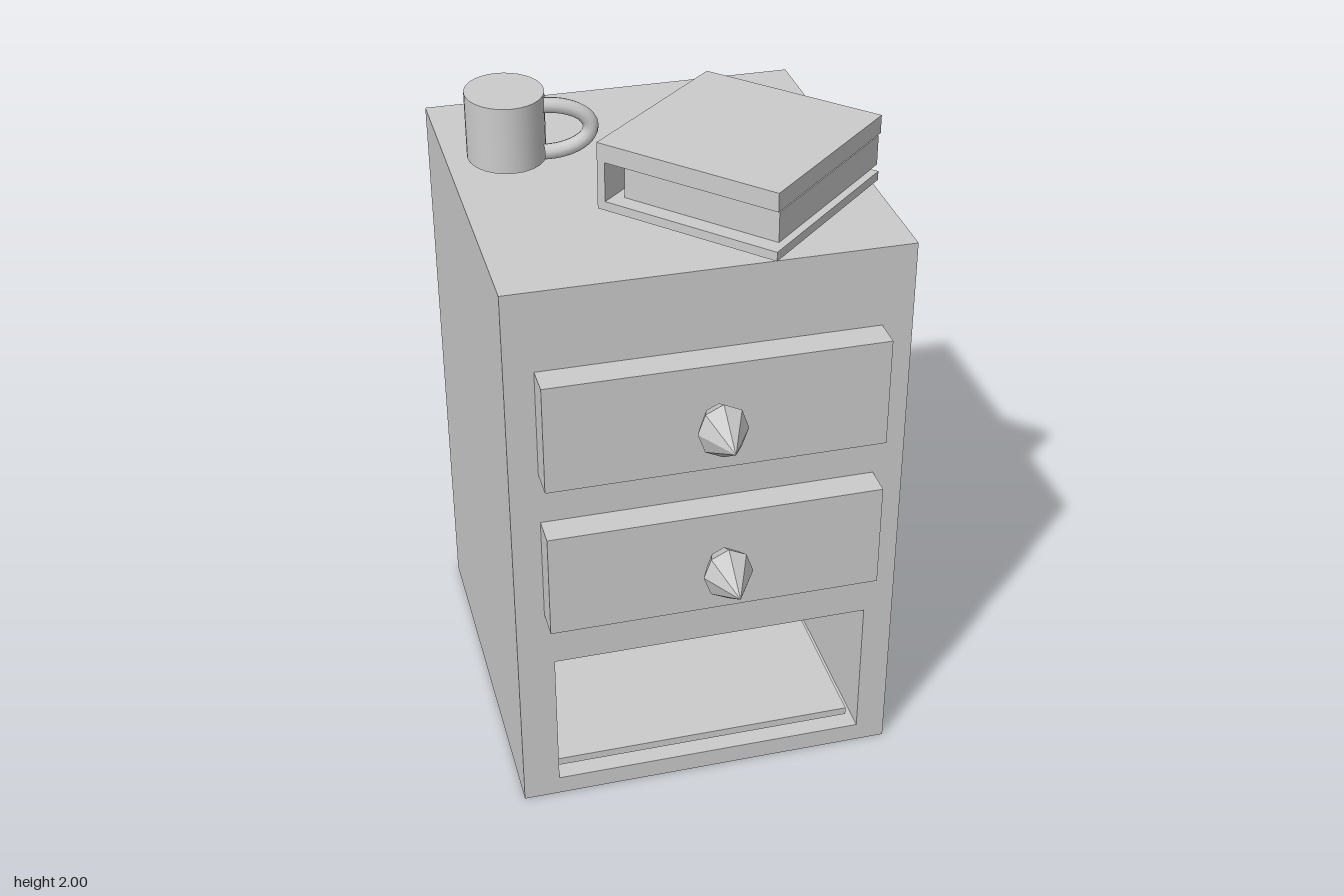
import * as THREE from 'three';

const smooth = new THREE.MeshStandardMaterial({ color: 0xcccccc });
const flat = new THREE.MeshStandardMaterial({ color: 0xcccccc, flatShading: true });

function add(parent, name, geometry, material = flat) {
  const mesh = new THREE.Mesh(geometry, material);
  mesh.name = name;
  parent.add(mesh);
  return mesh;
}

// Box given by its lower and upper limits on each axis
function box(parent, name, [x0, x1], [y0, y1], [z0, z1]) {
  const mesh = add(parent, name, new THREE.BoxGeometry(x1 - x0, y1 - y0, z1 - z0));
  mesh.position.set((x0 + x1) / 2, (y0 + y1) / 2, (z0 + z1) / 2);
  return mesh;
}

function polygon(points, Type = THREE.Shape) {
  return new Type(points.map(([x, y]) => new THREE.Vector2(x, y)));
}

function rect(x0, x1, y0, y1) {
  return [[x0, y0], [x1, y0], [x1, y1], [x0, y1]];
}

function makeCabinet() {
  const cabinet = new THREE.Group();
  cabinet.name = 'cabinet';
  const innerBack = -0.28, front = 0.445;

  // Body: a frame around the open compartment, closed by a solid rear part
  const frame = polygon(rect(-0.585, 0.575, 0, 1.77));
  frame.holes.push(polygon(rect(-0.475, 0.485, 0.06, 0.52), THREE.Path));
  const frameGeometry = new THREE.ExtrudeGeometry(frame, { depth: front - innerBack, bevelEnabled: false });
  add(cabinet, 'bodyFrame', frameGeometry.translate(0, 0, innerBack));
  box(cabinet, 'bodyBack', [-0.585, 0.575], [0, 1.77], [-0.77, innerBack]);

  // Board lying in the compartment
  box(cabinet, 'compartmentBoard', [-0.475, 0.455], [0.09, 0.115], [innerBack, 0.42]);

  // Drawer fronts and their faceted knobs
  const knobProfile = [[0, 0], [0.058, 0], [0.085, 0.05], [0, 0.17]].map(([r, h]) => new THREE.Vector2(r, h));
  const knobGeometry = new THREE.LatheGeometry(knobProfile, 8).rotateX(Math.PI / 2).scale(0.85, 1, 1);
  const drawers = [
    { name: 'upper', y: [1.19, 1.525], knob: [-0.02, 1.367, 0.568] },
    { name: 'lower', y: [0.70, 1.03], knob: [-0.007, 0.902, 0.597] },
  ];
  for (const { name, y, knob } of drawers) {
    box(cabinet, name + 'DrawerFront', [-0.5, 0.485], y, [front, 0.535]);
    add(cabinet, name + 'Knob', knobGeometry).position.set(...knob);
  }
  return cabinet;
}

function makeMug() {
  const mug = new THREE.Group();
  mug.name = 'mug';
  const cup = add(mug, 'cup', new THREE.CylinderGeometry(0.115, 0.115, 0.2, 32), smooth);
  cup.scale.z = 1.13;

  // Handle: half an ellipse, with its ends sunk into the cup
  const points = [];
  for (let i = 0; i <= 12; i++) {
    const a = Math.PI * (i / 12 - 0.5);
    points.push(new THREE.Vector3(0.1 + 0.135 * Math.cos(a), 0.073 * Math.sin(a), 0.065 + 0.015 * Math.cos(a)));
  }
  const curve = new THREE.CatmullRomCurve3(points);
  add(mug, 'handle', new THREE.TubeGeometry(curve, 24, 0.023, 10), smooth);
  mug.position.set(-0.415, 1.9, -0.32);
  return mug;
}

function makeBook() {
  const book = new THREE.Group();
  book.name = 'book';
  const size = 0.573;

  // Cover: C-shaped section of spine and two boards, open away from the spine
  const section = polygon([
    [0, 1.8], [size, 1.8], [size, 1.827], [0.025, 1.827],
    [0.025, 1.945], [size, 1.945], [size, 2], [0, 2],
  ]);
  const cover = new THREE.ExtrudeGeometry(section, { depth: size, bevelEnabled: false });
  add(book, 'cover', cover.rotateY(-Math.PI / 2).translate(size, 0, 0));

  // Page block, pushed slightly out of one end
  box(book, 'pages', [0.048, 0.608], [1.828, 1.918], [0.058, 0.55]);
  book.position.set(-0.235, 0, 0.08);
  book.rotation.y = 0.748;
  return book;
}

export function createModel() {
  const model = new THREE.Group();
  model.name = 'bedsideCabinet';
  model.add(makeCabinet(), makeMug(), makeBook());
  return model;
}
